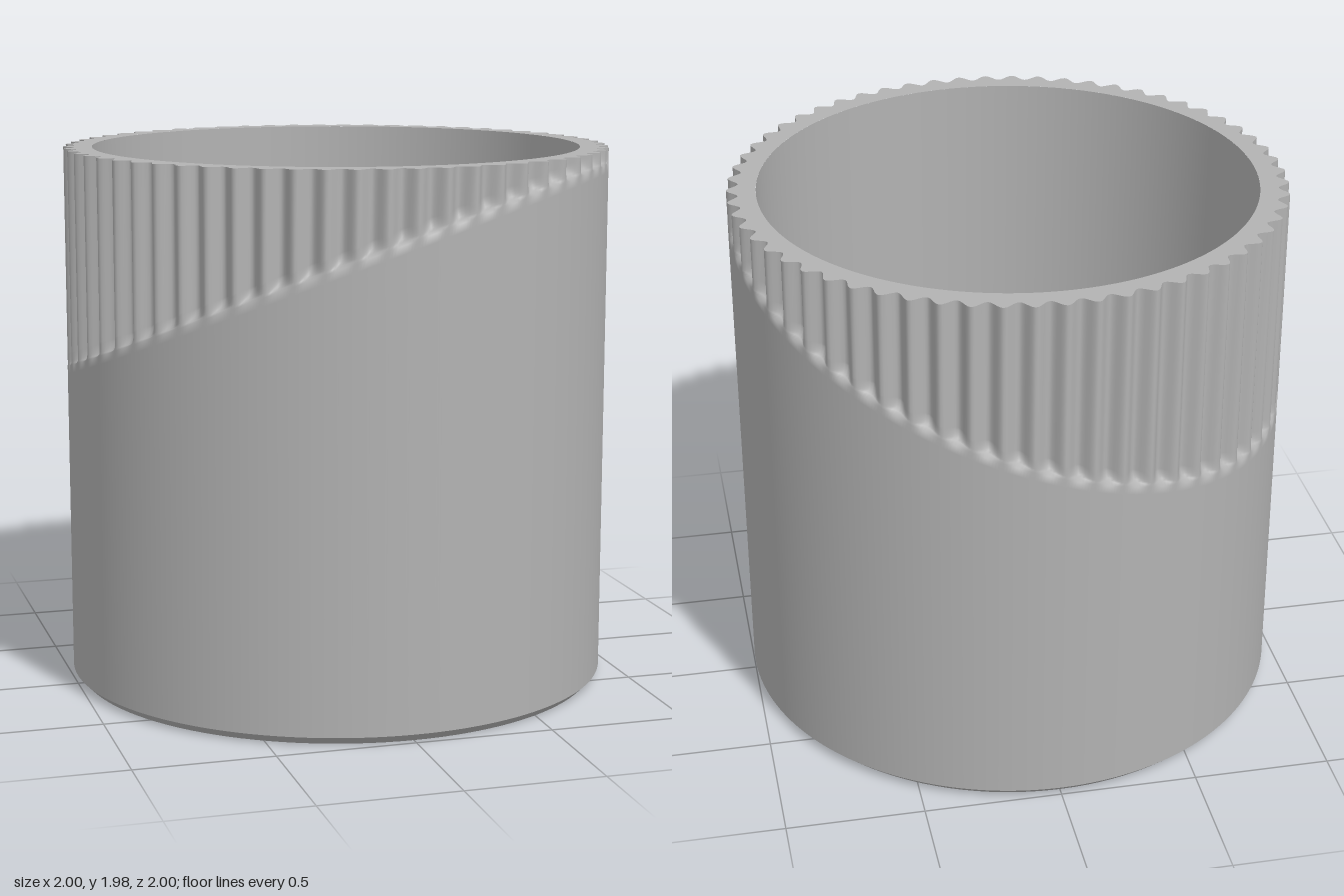
import * as THREE from 'three';

const HEIGHT = 1.98, INNER = 0.895, FLOOR = 0.18, CHAMFER = 0.03;
const FLUTES = 60, COLUMNS = 600, DEPTH = 0.04, RUNOUT = 0.05;
const HOLE_RADIUS = 0.12, HOLE_DEPTH = 0.1, HOLE_CIRCLE = 0.62;

// Surface swept round the y axis; each row gives [radius, y] for an angle.
function ringSurface(rows, columns = 96) {
  const position = [], index = [];
  rows.forEach((row) => {
    for (let i = 0; i < columns; i++) {
      const a = (i / columns) * Math.PI * 2;
      const [r, y] = typeof row === 'function' ? row(a) : row;
      position.push(r * Math.sin(a), y, r * Math.cos(a));
    }
  });
  for (let j = 0; j < rows.length - 1; j++) {
    for (let i = 0; i < columns; i++) {
      const a = j * columns + i, b = j * columns + ((i + 1) % columns);
      index.push(a, b, b + columns, a, b + columns, a + columns);
    }
  }
  const geometry = new THREE.BufferGeometry();
  geometry.setAttribute('position', new THREE.Float32BufferAttribute(position, 3));
  geometry.setIndex(index);
  geometry.computeVertexNormals();
  return geometry;
}

// Slanted plane where the flutes run out, and the fluted radius above it.
const cutHeight = (a) => 1.535 + 0.33 * Math.sin(a) + 0.21 * Math.cos(a);
const groove = (a) => DEPTH * (0.5 - 0.5 * Math.cos(a * FLUTES));

export function createModel() {
  const model = new THREE.Group();
  model.name = 'flutedCup';
  const grey = new THREE.MeshStandardMaterial({ color: 0xb2b2b2 });
  grey.name = 'grey';

  const add = (name, geometry, parent = model) => {
    const mesh = new THREE.Mesh(geometry, grey);
    mesh.name = name;
    parent.add(mesh);
    return mesh;
  };

  // Outer wall: plain below the slant, rounded groove ends, then straight flutes
  const wall = [[1, CHAMFER], (a) => [1, cutHeight(a) - 0.03]];
  for (let k = 0; k <= 6; k++) {
    const t = k / 6;
    wall.push((a) => [
      1 - groove(a) * Math.sqrt(1 - (1 - t) ** 2),
      Math.min(cutHeight(a) + RUNOUT * t, HEIGHT - 0.006 + 0.001 * k),
    ]);
  }
  wall.push((a) => [1 - groove(a), HEIGHT]);
  add('outerWall', ringSurface(wall, COLUMNS));

  // Rim, inside and bottom edge
  add('rim', ringSurface([(a) => [1 - groove(a), HEIGHT], [INNER, HEIGHT]], COLUMNS));
  add('innerWall', ringSurface([[INNER, HEIGHT], [INNER, FLOOR]], 120));
  add('innerFloor', ringSurface([[INNER, FLOOR], [0, FLOOR]], 120));
  add('bottomChamfer', ringSurface([[1 - CHAMFER, 0], [1, CHAMFER]], 120));

  // Underside with four blind holes
  const base = new THREE.Shape().absarc(0, 0, 1 - CHAMFER, 0, Math.PI * 2);
  for (let k = 0; k < 4; k++) {
    const angle = Math.PI / 4 + (k * Math.PI) / 2;
    const x = HOLE_CIRCLE * Math.cos(angle), z = HOLE_CIRCLE * Math.sin(angle);
    base.holes.push(new THREE.Path().absarc(x, z, HOLE_RADIUS, 0, Math.PI * 2, true));

    const hole = new THREE.Group();
    hole.name = 'baseHole' + (k + 1);
    hole.position.set(x, 0, z);
    add('holeWall', ringSurface([[HOLE_RADIUS, HOLE_DEPTH], [HOLE_RADIUS, 0]], 48), hole);
    add('holeEnd', ringSurface([[0, HOLE_DEPTH], [HOLE_RADIUS, HOLE_DEPTH]], 48), hole);
    model.add(hole);
  }
  add('underside', new THREE.ShapeGeometry(base, 60).rotateX(Math.PI / 2));

  return model;
}
